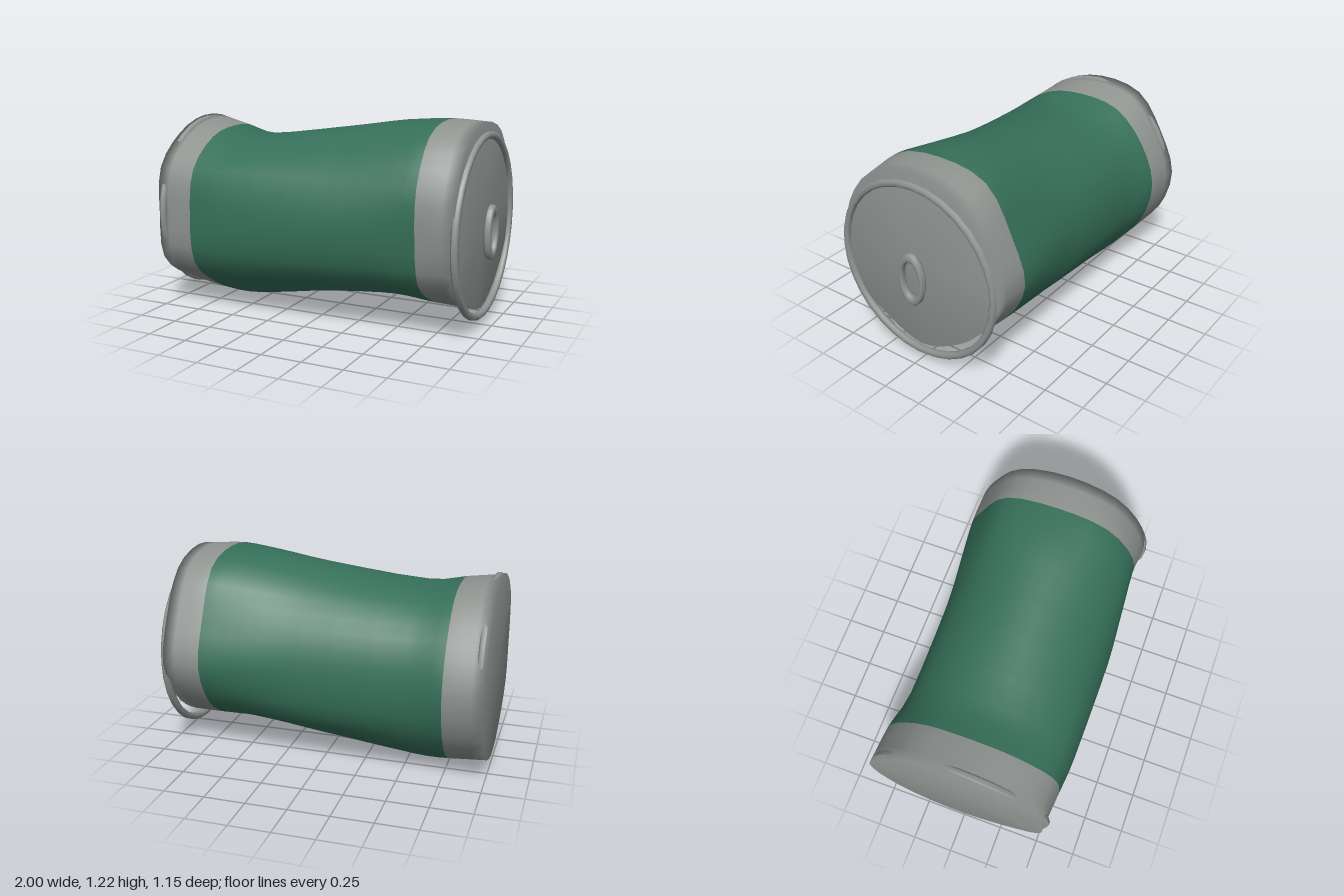
import * as THREE from 'three';

const metal = new THREE.MeshStandardMaterial({ color: 0x8f9491 });
metal.name = 'grey metal';
const paint = new THREE.MeshStandardMaterial({ color: 0x36705a });
paint.name = 'green paint';

const AXIS_Y = 0.605;
const SIDES = 36;
const STEPS = 3; // rows per span between two stations

// Dented cross-sections along x: radius every 30 degrees, from +z towards +y
const stations = [
  [-1.0, [.525, .57, .55, .558, .585, .545, .58, .58, .575, .555, .535, .575]],
  [-0.76, [.545, .57, .53, .503, .53, .53, .56, .57, .59, .598, .56, .59]],
  [-0.52, [.567, .575, .50, .463, .48, .50, .51, .55, .585, .595, .56, .595]],
  [0.1, [.57, .57, .55, .548, .53, .51, .515, .54, .52, .485, .50, .57]],
  [0.45, [.545, .58, .60, .603, .595, .54, .55, .53, .48, .46, .47, .54]],
  [0.7, [.52, .585, .635, .615, .635, .56, .575, .52, .48, .49, .48, .53]],
  [0.93, [.54, .57, .61, .61, .61, .56, .57, .50, .475, .50, .48, .53]],
];

// Smooth closed outline through one station
function outline([x, radii]) {
  const points = radii.map((r, k) => {
    const a = k * Math.PI / 6;
    return new THREE.Vector3(x, AXIS_Y + r * Math.sin(a), r * Math.cos(a));
  });
  const curve = new THREE.CatmullRomCurve3(points, true);
  return Array.from({ length: SIDES }, (_, j) => curve.getPoint(j / SIDES));
}

// Crushed shell with both ends closed; the middle spans are painted
function crushedBody() {
  const outlines = stations.map(outline);
  const rows = (stations.length - 1) * STEPS;
  const lines = Array.from({ length: SIDES }, (_, j) =>
    new THREE.CatmullRomCurve3(outlines.map((o) => o[j]), false, 'catmullrom', 0.4));
  const positions = [];
  for (let i = 0; i <= rows; i++) {
    for (const line of lines) positions.push(...line.getPoint(i / rows).toArray());
  }
  const leftCentre = positions.length / 3;
  positions.push(-1, AXIS_Y, 0, 0.93, AXIS_Y + 0.02, 0);

  const index = [];
  for (let j = 0; j < SIDES; j++) index.push(leftCentre, j, (j + 1) % SIDES);
  const bounds = [0];
  for (let i = 0; i < rows; i++) {
    if (i === STEPS || i === rows - STEPS) bounds.push(index.length);
    for (let j = 0; j < SIDES; j++) {
      const k = (j + 1) % SIDES;
      const a = i * SIDES + j, b = a + SIDES, c = (i + 1) * SIDES + k, d = i * SIDES + k;
      index.push(a, b, c, a, c, d);
    }
  }
  for (let j = 0; j < SIDES; j++) {
    index.push(leftCentre + 1, rows * SIDES + (j + 1) % SIDES, rows * SIDES + j);
  }
  bounds.push(index.length);

  const geometry = new THREE.BufferGeometry();
  geometry.setAttribute('position', new THREE.Float32BufferAttribute(positions, 3));
  geometry.setIndex(index);
  for (let g = 0; g < 3; g++) geometry.addGroup(bounds[g], bounds[g + 1] - bounds[g], g % 2);
  geometry.computeVertexNormals();
  return new THREE.Mesh(geometry, [metal, paint]);
}

// Bevelled ring turned about the x axis
function ring(name, x, y, outer, inner, depth, squeeze = 1) {
  const m = (outer + inner) / 2, h = depth / 2, w = (outer - inner) / 2;
  const profile = [
    [outer, -h / 2], [outer, h / 2], [m + w / 2, h], [m - w / 2, h],
    [inner, h / 2], [inner, -h / 2], [m - w / 2, -h], [m + w / 2, -h], [outer, -h / 2],
  ].map(([r, t]) => new THREE.Vector2(r, t));
  const geometry = new THREE.LatheGeometry(profile, 32);
  geometry.rotateZ(-Math.PI / 2);
  geometry.scale(1, 1, squeeze);
  const mesh = new THREE.Mesh(geometry, metal);
  mesh.name = name;
  mesh.position.set(x, y, 0);
  return mesh;
}

export function createModel() {
  const group = new THREE.Group();
  group.name = 'crushedCan';
  const body = crushedBody();
  body.name = 'dentedBody';
  group.add(
    body,
    ring('topRim', 0.934, AXIS_Y, 0.555, 0.515, 0.043),
    ring('bottomRim', -0.963, AXIS_Y, 0.555, 0.515, 0.043),
    ring('pullTab', 0.978, 0.573, 0.165, 0.113, 0.044, 0.55),
  );
  return group;
}
